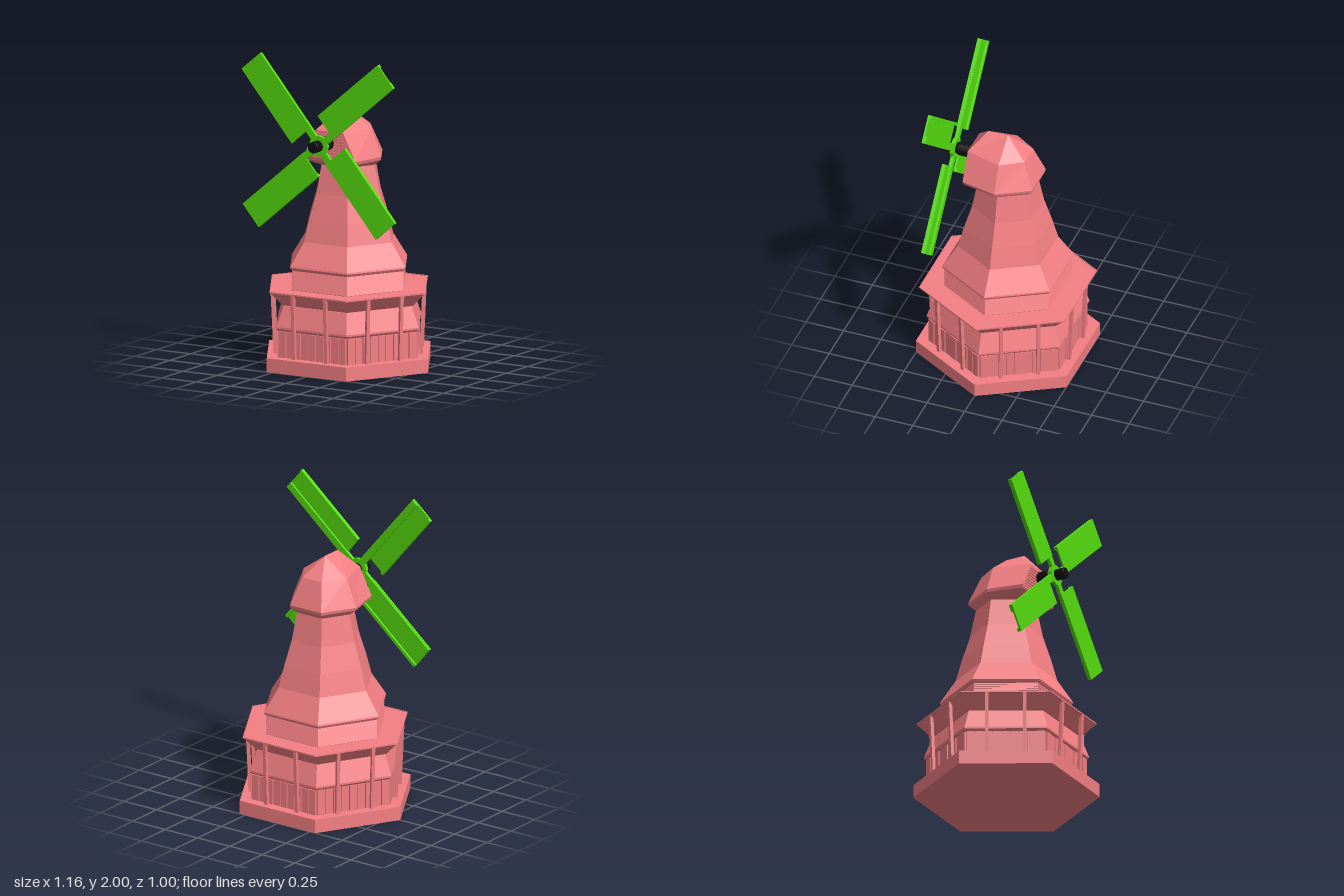
import * as THREE from 'three';

const mat = (color) => new THREE.MeshStandardMaterial({ color, flatShading: true });
const COS30 = Math.cos(Math.PI / 6);

export function createModel() {
  const model = new THREE.Group();
  const coral = mat(0xf47f83), green = mat(0x55dd0e), black = mat(0x111111);

  function add(parent, name, geometry, material, x = 0, y = 0, z = 0) {
    const flat = geometry.index ? geometry.toNonIndexed() : geometry;
    flat.computeVertexNormals();
    const mesh = new THREE.Mesh(flat, material);
    mesh.name = name;
    mesh.position.set(x, y, z);
    parent.add(mesh);
    return mesh;
  }
  function group(parent, name) {
    const g = new THREE.Group();
    g.name = name;
    parent.add(g);
    return g;
  }
  const box = (w, h, d) => new THREE.BoxGeometry(w, h, d);

  // Six-sided turned body with corners on the x axis; points are [corner radius, y]
  const hex = (name, pts) => add(model, name, new THREE.LatheGeometry(
    pts.map(([r, y]) => new THREE.Vector2(r, y)), 6, Math.PI / 2), coral);

  hex('base', [[0, 0], [0.58, 0], [0.58, 0.088], [0, 0.088]]);
  hex('lowerWall', [[0.492, 0.08], [0.492, 0.255], [0.5, 0.255], [0.512, 0.268],
    [0.512, 0.28], [0.462, 0.41], [0.45, 0.415]]);
  hex('balcony', [[0.45, 0.41], [0.47, 0.415], [0.55, 0.495], [0.56, 0.498],
    [0.56, 0.507], [0.553, 0.507], [0.553, 0.503], [0, 0.503]]);

  // Lapped horizontal siding on the drum
  const laps = [[0.4, 0.5]], lapCount = 9;
  for (let i = 0; i < lapCount; i++) {
    const y = 0.505 + i * 0.0135;
    laps.push([0.403, y], [0.397, y + 0.0135]);
  }
  hex('drumSiding', [...laps, [0.4, 0.63]]);
  hex('tower', [[0.39, 0.625], [0.405, 0.63], [0.415, 0.645], [0.412, 0.655], [0.316, 0.8],
    [0.278, 0.94], [0.227, 1.1], [0.19, 1.285], [0, 1.285]]);

  // Planks and balcony posts, repeated on all six sides
  for (let s = 0; s < 6; s++) {
    const side = group(model, 'side' + (s + 1));
    side.rotation.y = s * Math.PI / 3;
    for (let i = 0; i < 9; i++) {
      add(side, 'plank', box(0.049, 0.165, 0.012), coral,
        (i - 4) * 0.0545, 0.17, 0.492 * COS30 + (i % 2 ? 0.003 : 0.006));
    }
    for (const x of [-0.118, 0.118]) {
      const post = add(side, 'post', box(0.022, 0.42, 0.022), coral, x, 0.29, 0.463);
      post.rotation.x = 0.045;
    }
  }

  // Cap: loops of six corners running right, front right, front left, left, back left, back right
  const loop = (sx, fx, fz, bx, bz, y, sz = 0) => [[sx, y, sz], [fx, y, fz], [-fx, y, fz],
    [-sx, y, sz], [-bx, y, bz], [bx, y, bz]];
  const rings = [
    loop(0.19, 0.1, 0.165, 0.095, -0.165, 1.28),
    loop(0.235, 0.185, 0.225, 0.118, -0.202, 1.315),
    loop(0.24, 0.19, 0.23, 0.12, -0.206, 1.335),
    loop(0.165, 0.1, 0.23, 0.075, -0.138, 1.51),
    loop(0, 0, 0.13, 0, 0, 1.628),
  ];
  const capIndex = [];
  for (let r = 0; r < rings.length - 1; r++) {
    for (let i = 0; i < 6; i++) {
      const a = r * 6 + i, b = r * 6 + (i + 1) % 6;
      // Quads run upward with the outside facing out
      capIndex.push(a, a + 6, b, b, a + 6, b + 6);
    }
  }
  for (let i = 0; i < capIndex.length; i += 3) {
    [capIndex[i + 1], capIndex[i + 2]] = [capIndex[i + 2], capIndex[i + 1]];
  }
  const capGeo = new THREE.BufferGeometry();
  capGeo.setAttribute('position', new THREE.Float32BufferAttribute(rings.flat(2), 3));
  // Loops turn clockwise seen from above, so restore outward winding
  for (let i = 0; i < capIndex.length; i += 3) {
    const p = [0, 1, 2].map((k) => new THREE.Vector3().fromBufferAttribute(
      capGeo.attributes.position, capIndex[i + k]));
    const n = new THREE.Triangle(...p).getNormal(new THREE.Vector3());
    const mid = p[0].clone().add(p[1]).add(p[2]).divideScalar(3).sub(new THREE.Vector3(0, 1.43, 0.03));
    if (n.dot(mid) < 0) [capIndex[i + 1], capIndex[i + 2]] = [capIndex[i + 2], capIndex[i + 1]];
  }
  capGeo.setIndex(capIndex);
  add(model, 'cap', capGeo, coral);

  // Narrowing boards across the flat front of the cap
  for (let i = 0; i < 8; i++) {
    const y = 1.355 + i * 0.019;
    const width = 2 * (0.19 - (y - 1.335) * 0.514) - 0.04;
    add(model, 'capBoard', box(width, 0.013, 0.01), coral, 0, y, 0.231);
  }

  // Axle along z, in chamfered steps; points are [radius, z]
  const axle = add(model, 'axle', new THREE.LatheGeometry([[0, 0.22], [0.036, 0.22],
    [0.036, 0.238], [0.044, 0.248], [0.044, 0.322], [0.036, 0.334], [0.036, 0.425],
    [0.034, 0.43], [0, 0.43]].map(([r, z]) => new THREE.Vector2(r, z)), 16), black, 0, 1.44, 0);
  axle.rotation.x = Math.PI / 2;

  // Four sails, each offset to one side of its spar
  const rotor = group(model, 'rotor');
  rotor.position.set(0, 1.44, 0.352);
  const hub = add(rotor, 'hub', new THREE.CylinderGeometry(0.066, 0.066, 0.024, 12), green);
  hub.rotation.x = Math.PI / 2;
  for (let i = 0; i < 4; i++) {
    const sail = group(rotor, 'sail' + (i + 1));
    sail.rotation.z = THREE.MathUtils.degToRad(40 + 90 * i);
    add(sail, 'spar', box(0.65, 0.045, 0.022), green, 0.365, -0.006, -0.001);
    add(sail, 'panel', box(0.57, 0.18, 0.012), green, 0.407, 0.059, 0.007);
    add(sail, 'edgeStrip', box(0.57, 0.02, 0.022), green, 0.407, 0.139, -0.002);
  }
  return model;
}
